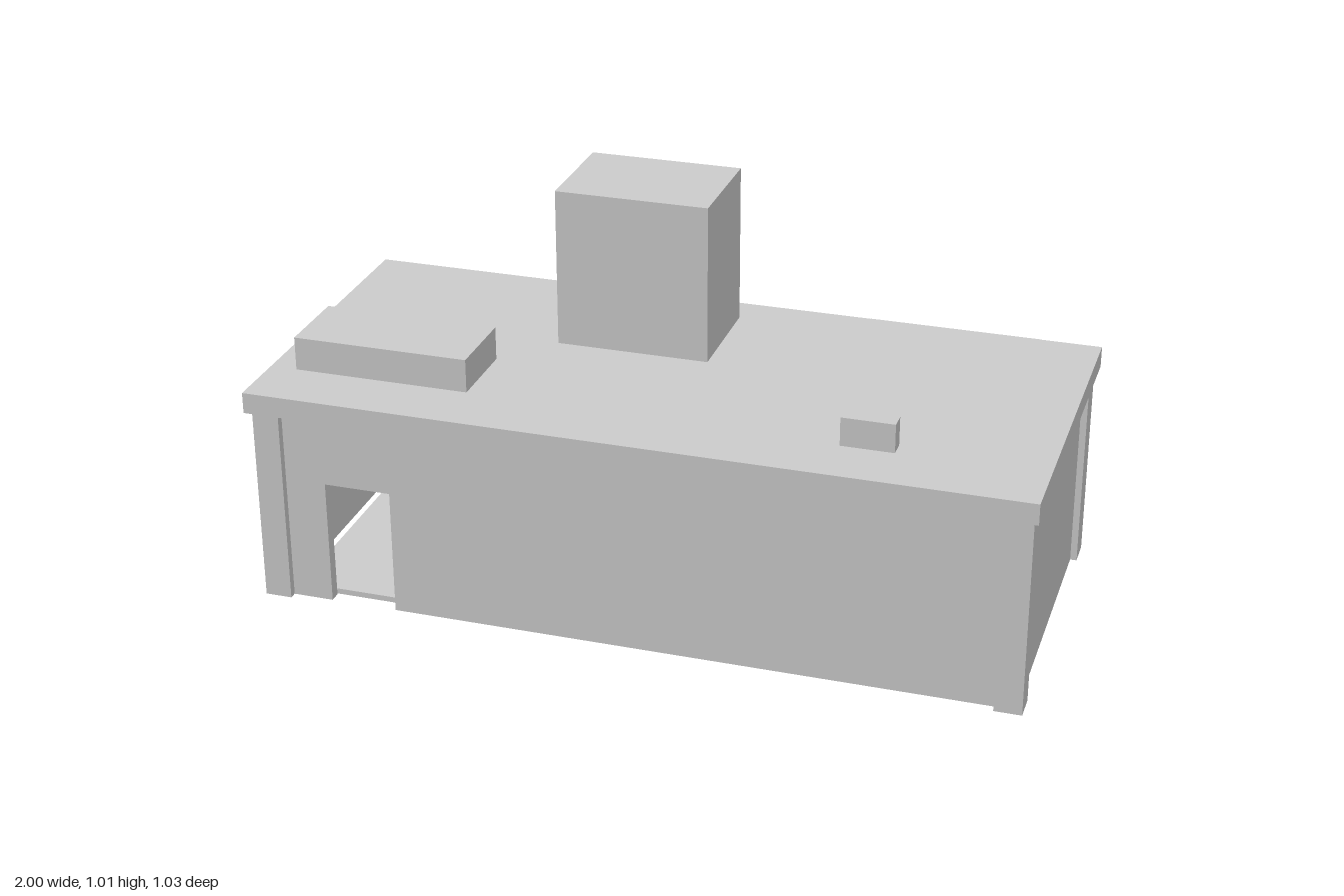
import * as THREE from 'three';

const material = new THREE.MeshStandardMaterial({ color: 0xcccccc, flatShading: true });

export function createModel() {
  const model = new THREE.Group();
  model.name = 'building';

  const add = (name, geometry) => {
    const mesh = new THREE.Mesh(geometry, material);
    mesh.name = name;
    model.add(mesh);
    return mesh;
  };

  // Box given by its extents on each axis
  const block = (name, [x0, x1], [y0, y1], [z0, z1]) => {
    const mesh = add(name, new THREE.BoxGeometry(x1 - x0, y1 - y0, z1 - z0));
    mesh.position.set((x0 + x1) / 2, (y0 + y1) / 2, (z0 + z1) / 2);
    return mesh;
  };

  const wallBottom = 0.01, wallTop = 0.537, doorTop = 0.345, thickness = 0.03;

  // Long wall whose outline steps up around each doorway [x0, x1]
  const longWall = (name, z, doorways) => {
    const outline = new THREE.Shape();
    outline.moveTo(-0.925, wallBottom);
    for (const [x0, x1] of doorways) {
      outline.lineTo(x0, wallBottom);
      outline.lineTo(x0, doorTop);
      outline.lineTo(x1, doorTop);
      outline.lineTo(x1, wallBottom);
    }
    outline.lineTo(0.925, wallBottom);
    outline.lineTo(0.925, wallTop);
    outline.lineTo(-0.925, wallTop);
    outline.closePath();
    const geometry = new THREE.ExtrudeGeometry(outline, { depth: thickness, bevelEnabled: false });
    add(name, geometry).position.z = z;
  };

  // Shell
  block('floor', [-0.92, 0.92], [0, 0.015], [-0.365, 0.425]);
  longWall('frontWall', 0.445, [[-0.81, -0.635]]);
  longWall('backWall', -0.35, [[-0.785, -0.405], [-0.11, 0.28], [0.447, 0.745]]);
  for (const [side, s] of [['left', 1], ['right', -1]]) {
    const span = (a, b) => [Math.min(s * a, s * b), Math.max(s * a, s * b)];
    block(side + 'Wall', span(0.94, 0.97), [wallBottom, wallTop], [-0.3, 0.43]);
    block(side + 'FrontPillar', span(0.917, 0.987), [wallBottom, 0.54], [0.425, 0.495]);
    block(side + 'BackPillar', span(0.917, 0.987), [wallBottom, 0.54], [-0.37, -0.295]);
  }
  block('roof', [-1, 1], [0.537, 0.592], [-0.388, 0.515]);

  // Rooftop
  block('roofTower', [-0.35, 0.053], [0.592, 1.012], [-0.295, 0]);
  block('roofUnit', [-0.92, -0.46], [0.602, 0.69], [0.16, 0.367]);
  block('roofVent', [0.49, 0.625], [0.592, 0.667], [0.315, 0.36]);

  // Back entrance and the block standing in the middle doorway
  block('canopy', [0.36, 0.82], [0.425, 0.535], [-0.515, -0.35]);
  block('doorstep', [0.447, 0.745], [0.008, 0.018], [-0.515, -0.35]);
  block('doorwayBlock', [-0.035, 0.2], [0.003, 0.325], [-0.4, 0.14]);

  return model;
}
